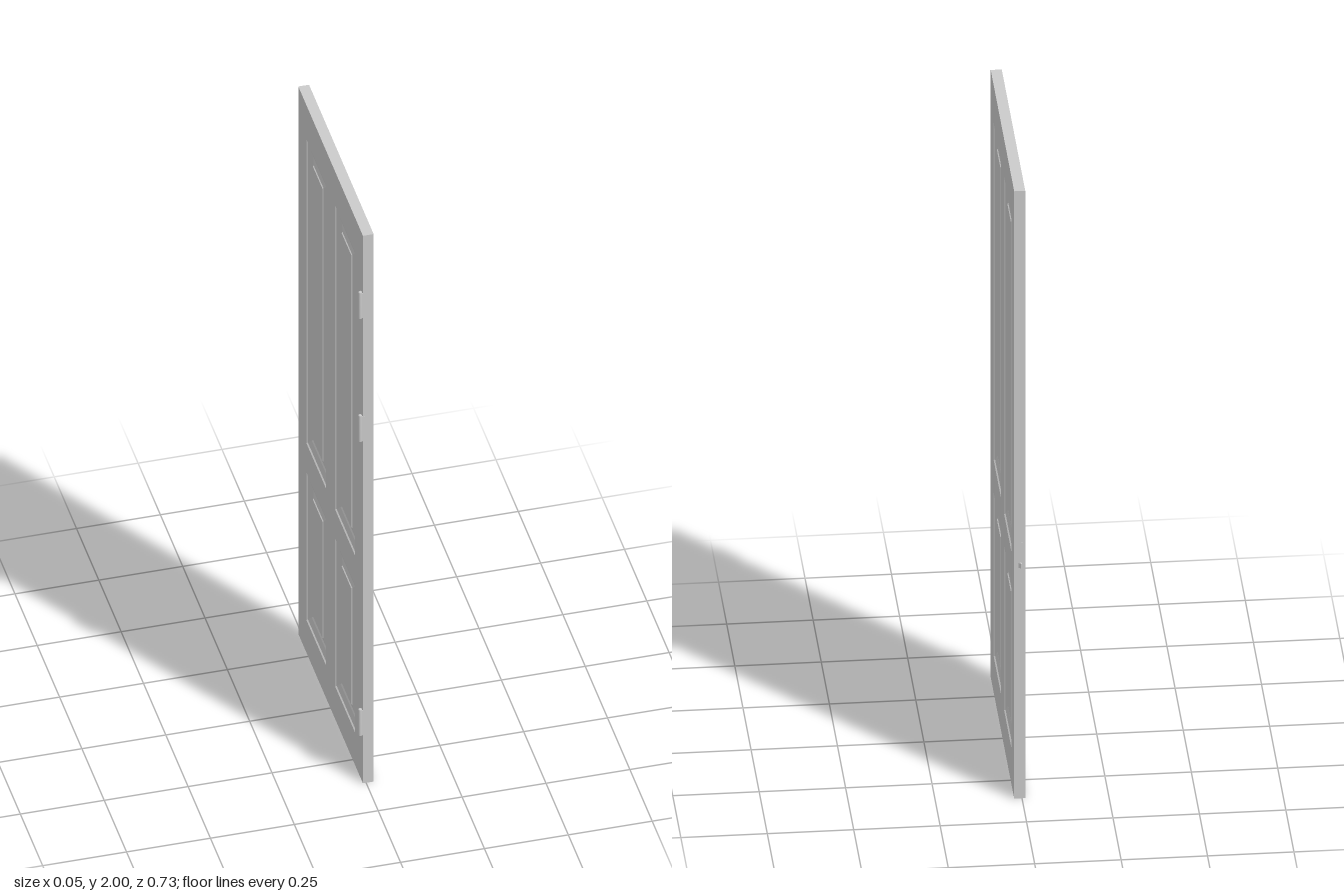
import * as THREE from 'three';

const W = 0.7235, H = 2, T = 0.032;       // door width, height, thickness
const PANEL_W = 0.222, PANEL_X = 0.161;   // panel width and offset from the door's middle
const ROWS = [[0.119, 0.659], [0.765, 1.876]]; // bottom and top of each panel row
const LATCH_Y = 0.768;

const mat = new THREE.MeshStandardMaterial({ color: 0xcccccc });
const flat = new THREE.MeshStandardMaterial({ color: 0xcccccc, flatShading: true });

function add(parent, name, geometry, x = 0, y = 0, z = 0, material = mat) {
  const mesh = new THREE.Mesh(geometry, material);
  mesh.name = name;
  mesh.position.set(x, y, z);
  parent.add(mesh);
  return mesh;
}

// Sunk moulding and raised field: [inset, depth] steps from the rim inwards
const STEPS = [[0, 0], [0.003, 0.004], [0.030, 0.008], [0.036, 0.011],
  [0.056, 0.007], [0.058, 0.004], [0.061, 0.004]];

function panelGeometry(w, h) {
  const rings = STEPS.map(([i, d]) => {
    const a = w / 2 - i, b = h / 2 - i;
    return [[-a, -b, -d], [a, -b, -d], [a, b, -d], [-a, b, -d]];
  });
  const pos = [];
  const quad = (a, b, c, d) => pos.push(...a, ...b, ...c, ...a, ...c, ...d);
  for (let r = 0; r < rings.length - 1; r++) {
    for (let k = 0; k < 4; k++) {
      const n = (k + 1) % 4;
      quad(rings[r][k], rings[r][n], rings[r + 1][n], rings[r + 1][k]);
    }
  }
  quad(...rings[rings.length - 1]);
  const g = new THREE.BufferGeometry();
  g.setAttribute('position', new THREE.Float32BufferAttribute(pos, 3));
  g.computeVertexNormals();
  return g;
}

function rectangle(Type, x0, y0, x1, y1) {
  return new Type([[x0, y0], [x1, y0], [x1, y1], [x0, y1]].map(p => new THREE.Vector2(...p)));
}

export function createModel() {
  const model = new THREE.Group();
  model.name = 'door';

  // Door leaf, built facing +z and then turned to face +x
  const leaf = new THREE.Group();
  leaf.name = 'doorLeaf';
  leaf.rotation.y = Math.PI / 2;
  leaf.position.set(0.0065, 0, 0.00275);
  model.add(leaf);

  // Stiles and rails with four openings
  const outline = rectangle(THREE.Shape, -W / 2, 0, W / 2, H);
  for (const side of [-1, 1]) {
    for (const [y0, y1] of ROWS) {
      const x = side * PANEL_X;
      outline.holes.push(rectangle(THREE.Path, x - PANEL_W / 2, y0, x + PANEL_W / 2, y1));
    }
  }
  const frame = new THREE.ExtrudeGeometry(outline, { depth: T, bevelEnabled: false });
  add(leaf, 'frame', frame.translate(0, 0, -T / 2));

  // Panels on both faces
  for (const [y0, y1] of ROWS) {
    const geometry = panelGeometry(PANEL_W, y1 - y0);
    for (const side of [-1, 1]) {
      for (const face of [1, -1]) {
        const panel = add(leaf, 'panel', geometry, side * PANEL_X, (y0 + y1) / 2, face * T / 2, flat);
        if (face < 0) panel.rotation.y = Math.PI;
      }
    }
  }

  // Hinges: knuckle barrel with rounded-off tips, and a leaf let into the edge
  const barrel = [[0, -0.049], [0.004, -0.049], [0.006, -0.046], [0.006, 0.046], [0.004, 0.049], [0, 0.049]];
  const profile = barrel.map(p => new THREE.Vector2(...p));
  for (const y of [0.221, 1.295, 1.745]) {
    const hinge = new THREE.Group();
    hinge.name = 'hinge';
    hinge.position.y = y;
    add(hinge, 'hingeBarrel', new THREE.LatheGeometry(profile, 16), -0.0165, 0, 0.3595);
    add(hinge, 'hingeLeaf', new THREE.BoxGeometry(0.012, 0.09, 0.002), -0.0075, 0, 0.3637);
    model.add(hinge);
  }

  // Latch plate and wedge-shaped bolt on the opposite edge
  add(model, 'latchPlate', new THREE.BoxGeometry(0.016, 0.15, 0.002), 0.0065, LATCH_Y, -0.3585);
  const wedge = new THREE.Shape([[0, 0], [0.009, 0], [0.009, 0.001], [0.002, 0.007], [0, 0.007]]
    .map(p => new THREE.Vector2(...p)));
  const bolt = new THREE.ExtrudeGeometry(wedge, { depth: 0.016, bevelEnabled: false });
  add(model, 'latchBolt', bolt.rotateX(-Math.PI / 2), 0.001, LATCH_Y - 0.008, -0.359);

  return model;
}
